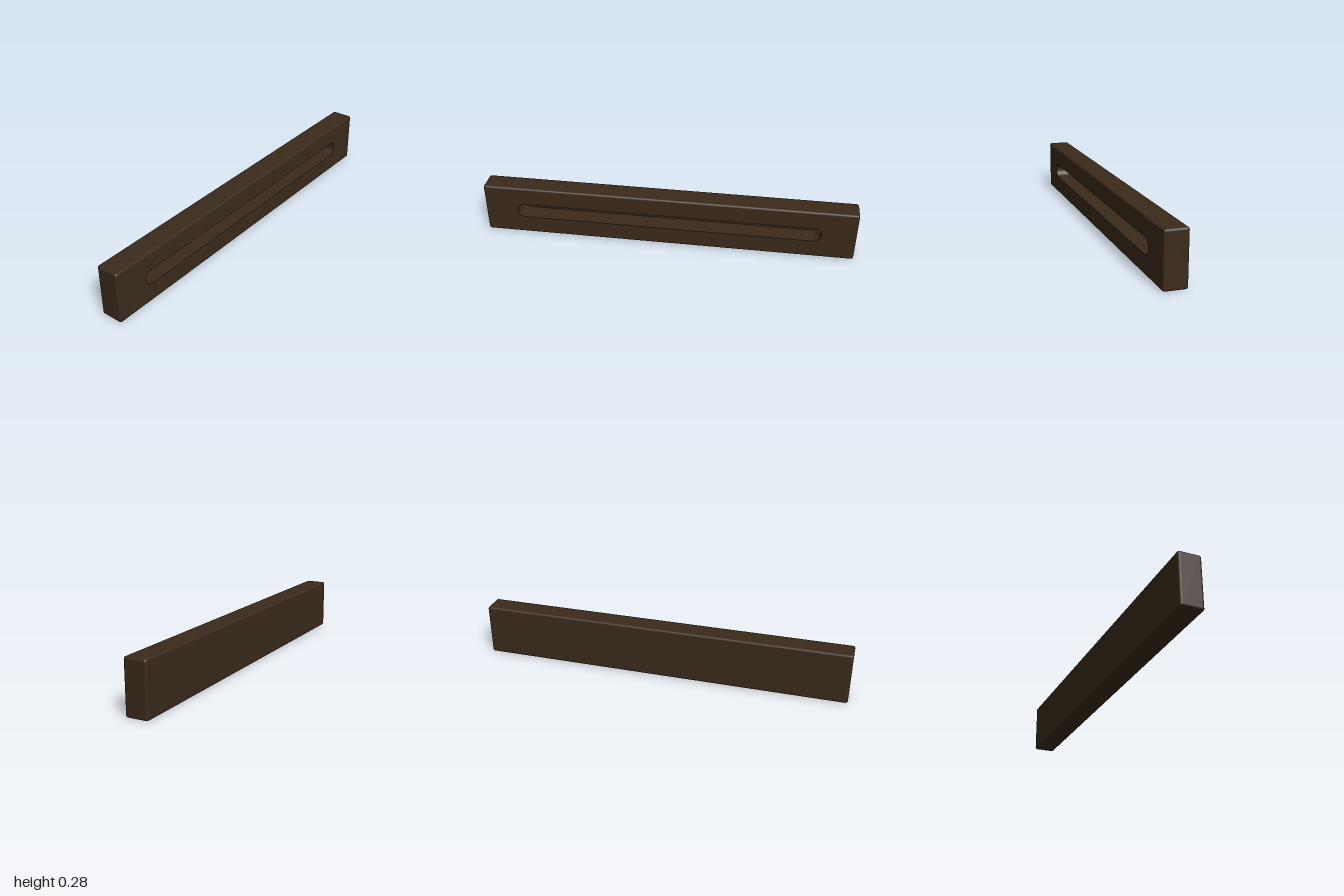
import * as THREE from 'three';
import { RoundedBoxGeometry } from 'three/addons/geometries/RoundedBoxGeometry.js';

const WIDTH = 2, HEIGHT = 0.28, DEPTH = 0.12, EDGE = 0.012;
const SLOT_HALF = 0.82, SLOT_RADIUS = 0.04, SLOT_DEPTH = 0.1;

// Counter-clockwise outline of the round-ended slot
function slotPoints(steps = 16) {
  const points = [];
  for (const side of [1, -1]) {
    for (let i = 0; i <= steps; i++) {
      const a = -Math.PI / 2 + (Math.PI * i) / steps;
      points.push(new THREE.Vector2(
        side * (SLOT_HALF - SLOT_RADIUS + SLOT_RADIUS * Math.cos(a)),
        side * SLOT_RADIUS * Math.sin(a)));
    }
  }
  return points;
}

// Rounded bar with the flat of its front left open
function shellGeometry() {
  const box = new RoundedBoxGeometry(WIDTH, HEIGHT, DEPTH, 4, EDGE);
  const pos = box.attributes.position;
  const index = [];
  for (let i = 0; i < pos.count; i += 3) {
    const flatFront = [0, 1, 2].every((k) => pos.getZ(i + k) > DEPTH / 2 - 1e-5);
    if (!flatFront) index.push(i, i + 1, i + 2);
  }
  box.clearGroups();
  box.setIndex(index);
  return box;
}

// Flat front panel pierced by the slot
function frontGeometry(outline) {
  const x = WIDTH / 2 - EDGE, y = HEIGHT / 2 - EDGE;
  const shape = new THREE.Shape([[-x, -y], [x, -y], [x, y], [-x, y]].map(([a, b]) => new THREE.Vector2(a, b)));
  shape.holes.push(new THREE.Path(outline.slice().reverse()));
  return new THREE.ShapeGeometry(shape);
}

// Inward-facing band around the slot
function wallGeometry(outline) {
  const positions = [], index = [], n = outline.length;
  outline.forEach((p, i) => {
    positions.push(p.x, p.y, 0, p.x, p.y, -SLOT_DEPTH);
    const a = 2 * i, b = 2 * ((i + 1) % n);
    index.push(a, b, a + 1, b, b + 1, a + 1);
  });
  const geometry = new THREE.BufferGeometry();
  geometry.setAttribute('position', new THREE.Float32BufferAttribute(positions, 3));
  geometry.setIndex(index);
  geometry.computeVertexNormals();
  return geometry;
}

export function createModel() {
  const group = new THREE.Group();
  group.name = 'slottedBar';
  const material = new THREE.MeshStandardMaterial({ color: 0x3a2a1b });
  const outline = slotPoints();

  const add = (name, geometry, z) => {
    const mesh = new THREE.Mesh(geometry, material);
    mesh.name = name;
    mesh.position.set(0, HEIGHT / 2, z);
    group.add(mesh);
  };

  add('barShell', shellGeometry(), 0);
  add('frontPanel', frontGeometry(outline), DEPTH / 2);
  add('slotWall', wallGeometry(outline), DEPTH / 2);
  add('slotFloor', new THREE.ShapeGeometry(new THREE.Shape(outline)), DEPTH / 2 - SLOT_DEPTH);
  return group;
}
